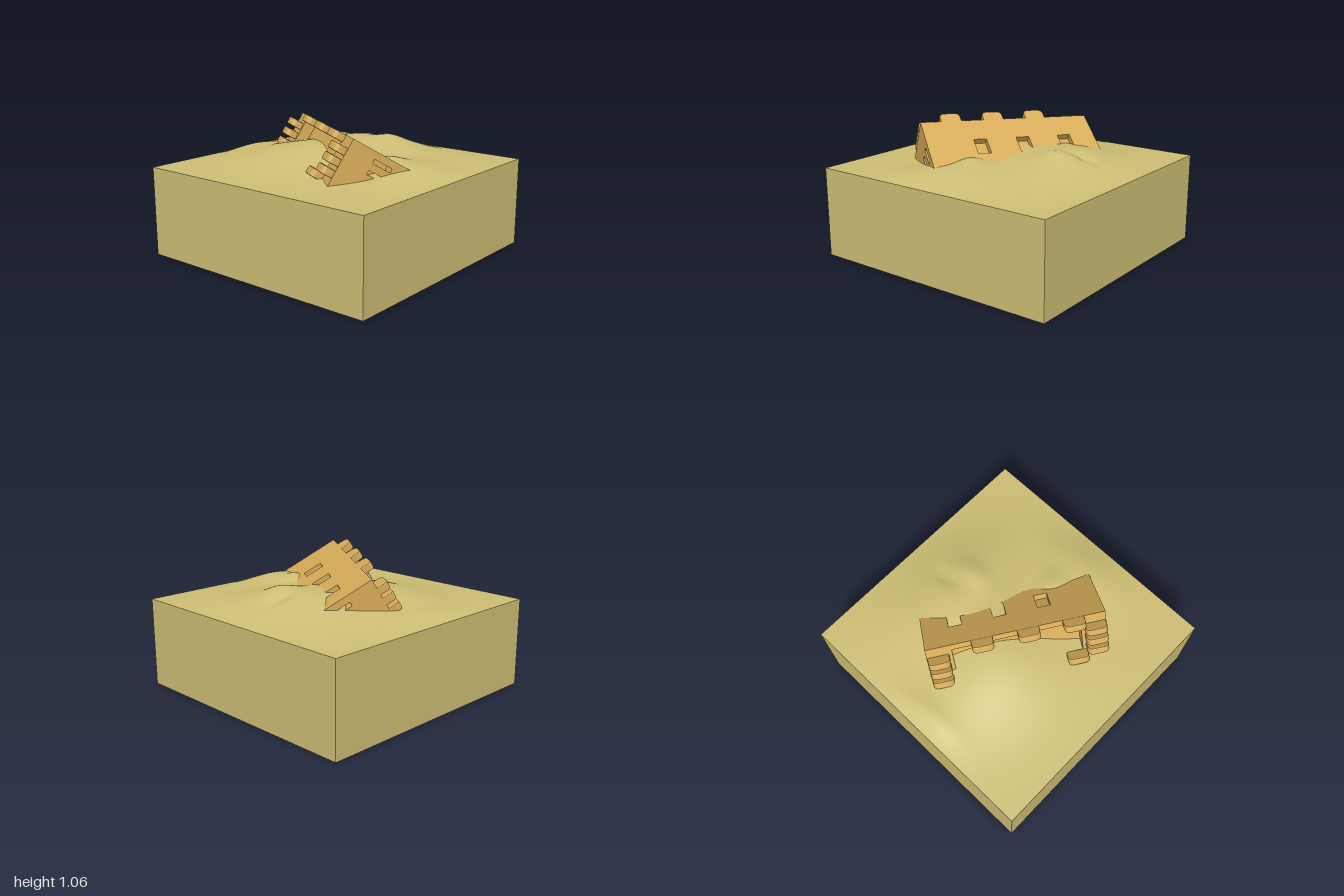
import * as THREE from 'three';

const sandMat = new THREE.MeshStandardMaterial({ color: 0xcdbe74 });
const wallMat = new THREE.MeshStandardMaterial({ color: 0xd6ab58 });

// Dunes: centre x, centre z, spread x, spread z, height
const DUNES = [
  [-0.2, 0.12, 0.4, 0.32, 0.14],
  [0, -0.5, 0.4, 0.25, 0.13],
  [0.72, 0.03, 0.18, 0.25, 0.08],
  [0.47, 0.02, 0.09, 0.1, 0.05],
  [-0.88, 0.05, 0.07, 0.18, 0.03],
];

function sandHeight(x, z) {
  let h = 0;
  for (const [cx, cz, sx, sz, a] of DUNES) {
    h += a * Math.exp(-0.5 * (((x - cx) / sx) ** 2 + ((z - cz) / sz) ** 2));
  }
  // small ripple behind the wall
  h += 0.025 * Math.exp(-(((x - 0.12) / 0.09) ** 2) - ((z + 0.48) / 0.14) ** 2);
  h -= 0.025 * Math.exp(-(((x + 0.04) / 0.06) ** 2) - ((z + 0.6) / 0.12) ** 2);
  return 0.69 + h * (1 - Math.abs(x) ** 12) * (1 - Math.abs(z) ** 12);
}

function mesh(name, geometry, material) {
  const m = new THREE.Mesh(geometry, material);
  m.name = name;
  return m;
}

function rectPath(path, x0, y0, x1, y1) {
  path.moveTo(x0, y0);
  path.lineTo(x1, y0);
  path.lineTo(x1, y1);
  path.lineTo(x0, y1);
  path.closePath();
  return path;
}

// Flat panel with rectangular holes given as [x0, y0, x1, y1]
function panel(outer, holes, depth) {
  const shape = rectPath(new THREE.Shape(), ...outer);
  for (const h of holes) shape.holes.push(rectPath(new THREE.Path(), ...h));
  return new THREE.ExtrudeGeometry(shape, { depth, bevelEnabled: false });
}

// Battlement block with a rounded tip, base at y = 0
function merlonGeometry() {
  const s = new THREE.Shape();
  const w = 0.08, h = 0.09, r = 0.045;
  s.moveTo(-w, -0.01);
  s.lineTo(w, -0.01);
  s.lineTo(w, h - r);
  s.quadraticCurveTo(w, h, w - r, h);
  s.lineTo(r - w, h);
  s.quadraticCurveTo(-w, h, -w, h - r);
  s.closePath();
  return new THREE.ExtrudeGeometry(s, {
    depth: 0.044, bevelEnabled: true, bevelThickness: 0.007, bevelSize: 0.007,
    bevelOffset: -0.007, bevelSegments: 2, curveSegments: 6,
  }).translate(0, 0, -0.022);
}

// Fort in its own frame: x along its width, y towards its battlements, z through its depth
function createFort() {
  const fort = new THREE.Group();
  fort.name = 'fort';
  const W = 0.665, H = 0.37, L = 0.75, rim = 0.09, t = 0.045, side = 0.1;
  const vy0 = -0.36, vy1 = -0.21;

  // hollow rim at the top
  const ring = panel([-W, 0, W, H], [[-W + 0.19, t, W - 0.19, H - t]], rim);
  ring.rotateX(Math.PI / 2);
  fort.add(mesh('rim', ring, wallMat));

  // solid core behind the windows
  const core = new THREE.BoxGeometry(2 * (W - side), L - rim, H - 2 * t);
  core.translate(0, -(L + rim) / 2, H / 2);
  fort.add(mesh('core', core, wallMat));

  // long walls with three windows each
  const wide = [-0.415, -0.08, 0.255].map((u) => [u - 0.05, vy0, u + 0.05, vy1]);
  for (const z of [0, H - t]) {
    const wall = mesh('longWall', panel([-W, -L, W, -rim], wide, t), wallMat);
    wall.position.z = z;
    fort.add(wall);
  }

  // short walls with three narrow windows each
  const narrow = [0.069, 0.155, 0.243].map((w) => [w - 0.016, vy0, w + 0.016, vy1]);
  for (const x of [W, side - W]) {
    const wall = mesh('shortWall', panel([t, -L, H - t, -rim], narrow, side), wallMat);
    wall.rotation.y = -Math.PI / 2;
    wall.position.x = x;
    fort.add(wall);
  }

  // battlements around the rim
  const geo = merlonGeometry();
  const spots = [];
  for (const u of [-0.25, 0.09, 0.425]) spots.push([u, 0.03], [u, H - 0.03]);
  for (const w of [0.105, 0.193, 0.281]) spots.push([-W + 0.085, w], [W - 0.085, w]);
  for (const [u, w] of spots) {
    const m = mesh('merlon', geo, wallMat);
    m.position.set(u, 0, w);
    fort.add(m);
  }
  return fort;
}

export function createModel() {
  const group = new THREE.Group();
  group.name = 'sunkenFort';

  // block of sand with a rolling top
  const sand = new THREE.BoxGeometry(2, 0.69, 2, 100, 1, 100);
  const p = sand.attributes.position;
  for (let i = 0; i < p.count; i++) {
    p.setY(i, p.getY(i) > 0 ? sandHeight(p.getX(i), p.getZ(i)) : 0);
  }
  sand.computeVertexNormals();
  group.add(mesh('sandBlock', sand, sandMat));

  // tilted fort half buried in the sand
  const u = new THREE.Vector3(0.835, 0.026, 0.549).normalize();
  const w = u.clone().cross(new THREE.Vector3(-0.47, 0.51, 0.71)).normalize();
  const v = w.clone().cross(u);
  const fort = createFort();
  fort.quaternion.setFromRotationMatrix(new THREE.Matrix4().makeBasis(u, v, w));
  fort.position.set(-0.045, 1.002, 0.115);
  group.add(fort);
  return group;
}
